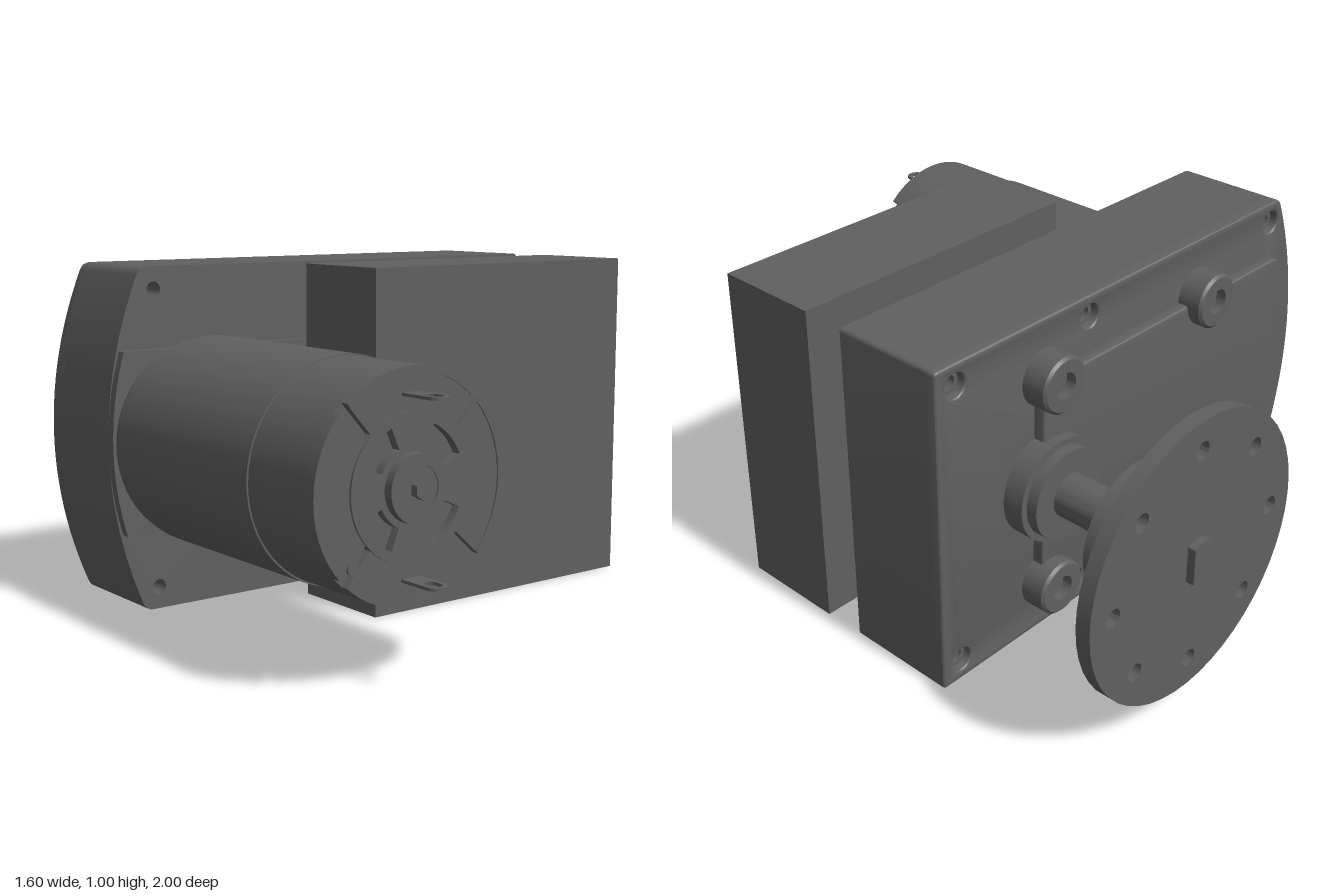
import * as THREE from 'three';
import { toCreasedNormals } from 'three/addons/utils/BufferGeometryUtils.js';

const material = new THREE.MeshStandardMaterial({ color: 0x606060, side: THREE.DoubleSide });

export function createModel() {
  const root = new THREE.Group();
  root.name = 'gearedMotor';

  const group = (name, x = 0, y = 0) => {
    const g = new THREE.Group();
    g.name = name;
    g.position.set(x, y, 0);
    root.add(g);
    return g;
  };
  const add = (parent, name, geometry, x = 0, y = 0, z = 0) => {
    const mesh = new THREE.Mesh(toCreasedNormals(geometry, 0.3), material);
    mesh.name = name;
    mesh.position.set(x, y, z);
    parent.add(mesh);
  };
  // Turned part along z, profile given as [radius, z]
  const turned = (points, segments = 56) =>
    new THREE.LatheGeometry(points.map(([r, z]) => new THREE.Vector2(r, z)), segments).rotateX(Math.PI / 2);
  const rod = (r, z0, z1, segments = 48) => turned([[0, z0], [r, z0], [r, z1], [0, z1]], segments);
  // Extruded outline between two depths
  const slab = (shape, z0, z1, bevel = 0) => new THREE.ExtrudeGeometry(shape, {
    depth: z1 - z0 - 2 * bevel, bevelEnabled: bevel > 0, bevelThickness: bevel, bevelSize: bevel,
    bevelOffset: -bevel, bevelSegments: 3, curveSegments: 24,
  }).translate(0, 0, z0 + bevel);
  const circle = (r, x = 0, y = 0, C = THREE.Path) => {
    const c = new C();
    c.absarc(x, y, r, 0, Math.PI * 2, false);
    return c;
  };
  const sector = (r0, r1, a0, a1, C = THREE.Shape) => {
    const s = new C();
    s.absarc(0, 0, r1, a0, a1, false);
    s.absarc(0, 0, r0, a1, a0, true);
    s.closePath();
    return s;
  };
  const roundRect = (x0, y0, x1, y1, r) => {
    const s = new THREE.Shape();
    s.absarc(x1 - r, y0 + r, r, -Math.PI / 2, 0, false);
    s.absarc(x1 - r, y1 - r, r, 0, Math.PI / 2, false);
    s.absarc(x0 + r, y1 - r, r, Math.PI / 2, Math.PI, false);
    s.absarc(x0 + r, y0 + r, r, Math.PI, Math.PI * 1.5, false);
    s.closePath();
    return s;
  };

  // Gearbox housing with a bowed end and six counterbored screw holes
  const gearbox = group('gearbox', 0.003);
  const housing = (holeRadius) => {
    const s = new THREE.Shape();
    s.moveTo(-0.66, 0);
    s.lineTo(0.765, 0);
    s.quadraticCurveTo(0.78, 0, 0.78, 0.015);
    s.lineTo(0.78, 0.985);
    s.quadraticCurveTo(0.78, 1, 0.765, 1);
    s.lineTo(-0.66, 1);
    s.quadraticCurveTo(-0.685, 1, -0.695, 0.975);
    s.quadraticCurveTo(-0.895, 0.5, -0.695, 0.025);
    s.quadraticCurveTo(-0.685, 0, -0.66, 0);
    for (const x of [-0.64, 0.2, 0.71]) for (const y of [0.065, 0.935])
      s.holes.push(circle(holeRadius, x, y));
    return s;
  };
  add(gearbox, 'housingFront', slab(housing(0.022), -0.425, -0.105));
  add(gearbox, 'housingBack', slab(housing(0.034), -0.452, -0.38, 0.01));

  // Raised pad under the motor, following the bowed end
  const pad = new THREE.Shape();
  pad.moveTo(-0.755, 0.235);
  pad.lineTo(0.1, 0.235);
  pad.lineTo(0.1, 0.765);
  pad.lineTo(-0.755, 0.765);
  pad.quadraticCurveTo(-0.835, 0.5, -0.755, 0.235);
  add(gearbox, 'motorPad', slab(pad, -0.11, -0.078));

  // Raised cover and four hollow bosses on the back
  add(gearbox, 'backCover', slab(roundRect(-0.66, 0.17, 0.42, 0.83, 0.04), -0.487, -0.44, 0.01));
  for (const x of [-0.275, 0.385]) for (const y of [0.17, 0.83])
    add(gearbox, 'mountingBoss', turned([
      [0, -0.5], [0.038, -0.5], [0.038, -0.532], [0.075, -0.532], [0.083, -0.524], [0.083, -0.44],
    ], 36), x, y);

  // Front spacers, bearing and pin
  for (const x of [0.18, 0.59]) for (const y of [0.21, 0.79])
    add(gearbox, 'spacer', rod(0.08, -0.11, 0.032), x, y);
  add(gearbox, 'frontBearing', turned([
    [0, -0.11], [0.16, -0.11], [0.16, -0.04], [0.15, -0.03], [0, -0.03],
  ]), 0.385, 0.5);
  add(gearbox, 'bearingPin', rod(0.025, -0.03, 0.032, 24), 0.385, 0.5);

  // Control block
  add(root, 'frontBlock', new THREE.BoxGeometry(0.98, 1, 0.33), 0.292, 0.5, 0.195);

  // Motor can with sleeve and rounded rear end
  const motor = group('motor', -0.499, 0.5);
  add(motor, 'motorCan', turned([
    [0, -0.078], [0.27, -0.078], [0.288, -0.07], [0.297, -0.05], [0.297, -0.015],
    [0.303, -0.015], [0.303, 0.61], [0.298, 0.61], [0.298, 0.856], [0, 0.856],
  ], 72));
  // Notched rim and end plate
  for (let i = 0; i < 4; i++) {
    const a = Math.PI / 4 + i * Math.PI / 2;
    add(motor, 'rimSegment', slab(sector(0.284, 0.298, a + 0.055, a + Math.PI / 2 - 0.055), 0.85, 0.88));
    // Filler inside the rim, leaving the notches open
    add(motor, 'endPlate', slab(sector(0.18, 0.284, a + 0.055, a + Math.PI / 2 - 0.055), 0.85, 0.876));
  }
  add(motor, 'locatingDimple', rod(0.017, 0.87, 0.879, 24), -0.18, -0.175);
  // Vented end cap
  const cap = circle(0.19, 0, 0, THREE.Shape);
  for (let i = 0; i < 4; i++) {
    const a = Math.PI / 4 + i * Math.PI / 2;
    cap.holes.push(sector(0.105, 0.165, a - 0.37, a + 0.37, THREE.Path));
  }
  add(motor, 'ventedCap', slab(cap, 0.85, 0.882));
  add(motor, 'capBearing', turned([
    [0, 0.87], [0.088, 0.87], [0.088, 0.908], [0.06, 0.908], [0.06, 0.904], [0, 0.904],
  ]));
  add(motor, 'motorShaftEnd', rod(0.026, 0.9, 0.925, 6));
  // Flat terminals with an eyelet
  const tab = new THREE.Shape();
  tab.moveTo(-0.03, 0.85);
  tab.lineTo(0.03, 0.85);
  tab.lineTo(0.03, 0.97);
  tab.absarc(0, 0.97, 0.03, 0, Math.PI, false);
  tab.closePath();
  const eye = new THREE.Path();
  eye.absarc(0, 0.968, 0.018, 0, Math.PI, false);
  eye.absarc(0, 0.948, 0.018, Math.PI, Math.PI * 2, false);
  eye.closePath();
  tab.holes.push(eye);
  for (const y of [-0.23, 0.23])
    add(motor, 'terminal', slab(tab, -0.004, 0.004).rotateX(Math.PI / 2), 0, y);

  // Output shaft, stepped bearing collar and D-shaped tip
  const output = group('outputShaft', 0.389, 0.5);
  add(output, 'collar', turned([
    [0, -0.552], [0.135, -0.552], [0.135, -0.518], [0.155, -0.518], [0.155, -0.44], [0, -0.44],
  ]));
  add(output, 'shaft', rod(0.065, -0.75, -0.54));
  const dShape = new THREE.Shape();
  dShape.absarc(0, 0, 0.064, 1, Math.PI * 2 - 1, false);
  dShape.closePath();
  add(output, 'shaftTip', slab(dShape, -1, -0.74));

  // Coupling hub and drilled flange disc
  add(output, 'couplingHub', rod(0.196, -0.932, -0.768));
  const disc = circle(0.412, 0, 0, THREE.Shape);
  for (let i = 0; i < 8; i++) {
    const a = i * Math.PI / 4;
    disc.holes.push(circle(0.026, 0.325 * Math.cos(a), 0.325 * Math.sin(a)));
  }
  add(output, 'flangeDisc', slab(disc, -0.976, -0.932));
  return root;
}
